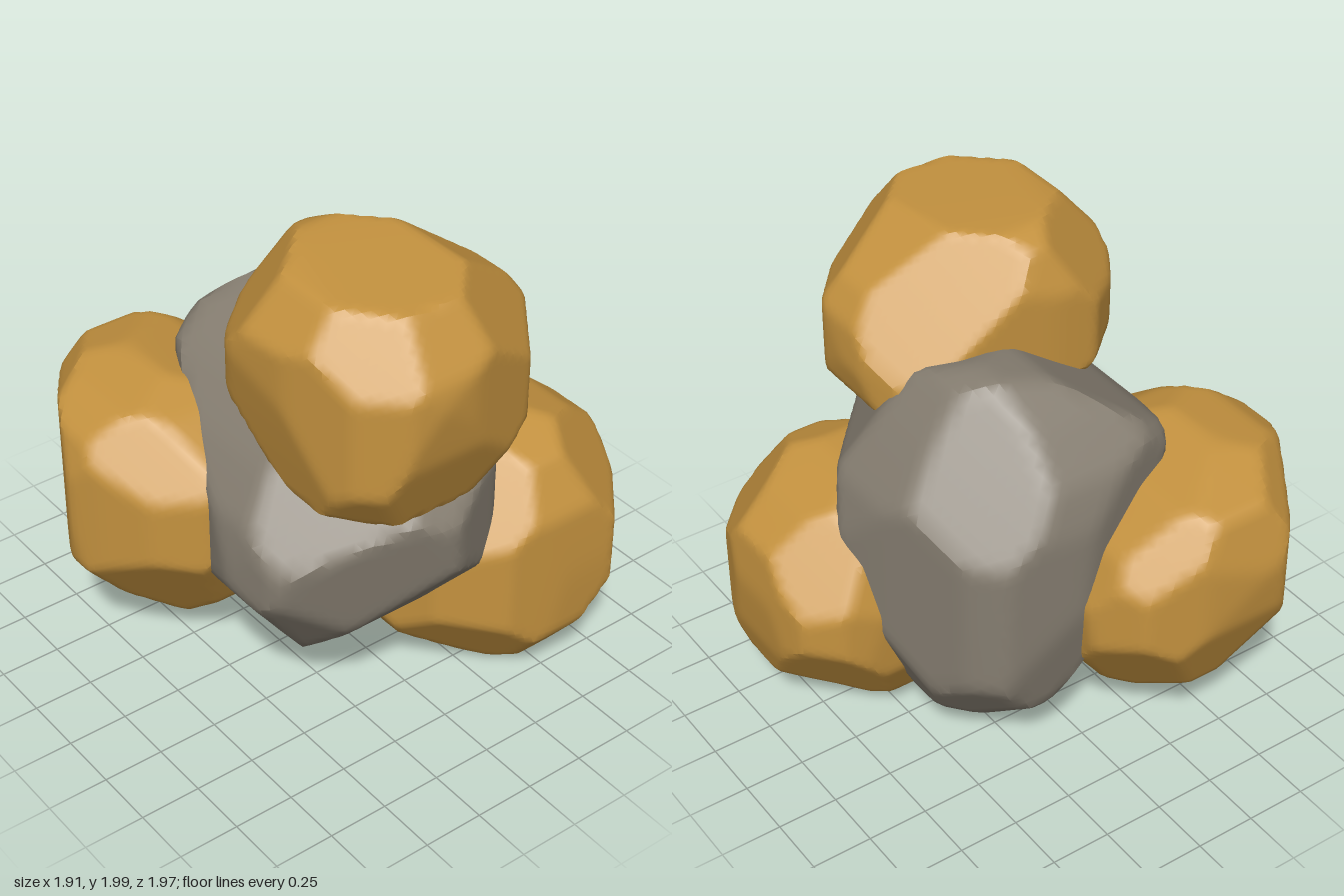
import * as THREE from 'three';
import { toCreasedNormals } from 'three/addons/utils/BufferGeometryUtils.js';

// Corner directions, in the order +++, ++-, +-+, +--, -++, -+-, --+, ---
const corners = [];
for (const x of [1, -1]) for (const y of [1, -1]) for (const z of [1, -1]) {
  corners.push(new THREE.Vector3(x, y, z).normalize());
}

// One cutting plane for each side of a convex outline drawn in the axes u, v
function outlinePlanes(points, u, v, center) {
  return points.map(([a, b], i) => {
    const [c, d] = points[(i + 1) % points.length];
    const n = new THREE.Vector3().setComponent(u, d - b).setComponent(v, a - c).normalize();
    const onEdge = new THREE.Vector3().copy(center).setComponent(u, a).setComponent(v, b);
    const h = n.dot(onEdge.sub(center));
    return h < 0 ? { n: n.negate(), h: -h } : { n, h };
  });
}

// A worn stone: cut by its front (x, y), side (z, y) and top (x, z) outlines,
// eight corner planes and any extra facets given as [nx, ny, nz, distance]
function stone(name, material, { at, front, side, top, corner, facets = [] }) {
  const center = new THREE.Vector3(...at);
  const planes = [
    ...outlinePlanes(front, 0, 1, center),
    ...outlinePlanes(side, 2, 1, center),
    ...outlinePlanes(top, 0, 2, center),
    ...corners.map((n, i) => ({ n, h: corner[i] })),
    ...facets.map(([x, y, z, h]) => ({ n: new THREE.Vector3(x, y, z).normalize(), h })),
  ];
  const geometry = new THREE.IcosahedronGeometry(1, 20);
  const pos = geometry.attributes.position;
  const d = new THREE.Vector3();
  for (let i = 0; i < pos.count; i++) {
    d.fromBufferAttribute(pos, i).normalize();
    // nearest plane along d, slightly rounded where planes meet
    let sum = 0;
    for (const { n, h } of planes) sum += Math.max(0, n.dot(d) / h) ** 150;
    d.multiplyScalar(sum ** (-1 / 150));
    pos.setXYZ(i, d.x, d.y, d.z);
  }
  const mesh = new THREE.Mesh(toCreasedNormals(geometry, 0.55), material);
  mesh.name = name;
  mesh.position.copy(center);
  return mesh;
}

const core = {
  at: [0.08, 0.86, 0],
  front: [[-0.22, 1.64], [-0.08, 1.64], [0.3, 1.5], [0.65, 1.22], [0.78, 1.09], [0.85, 1], [0.84, 0.8],
    [0.58, 0.48], [0.22, 0.16], [-0.08, 0.07], [-0.2, 0.08], [-0.55, 0.32], [-0.64, 0.8], [-0.62, 1.15],
    [-0.56, 1.32], [-0.4, 1.5]],
  side: [[-0.2, 1.64], [0, 1.6], [0.4, 1.33], [0.55, 1.18], [0.67, 1], [0.72, 0.75], [0.7, 0.7],
    [0.3, 0.15], [-0.2, 0.08], [-0.5, 0.2], [-0.7, 0.65], [-0.73, 0.95], [-0.66, 1.18], [-0.49, 1.42],
    [-0.33, 1.6]],
  top: [[0.1, -0.73], [0.2, -0.66], [0.38, -0.52], [0.7, -0.25], [0.85, 0.05], [0.82, 0.25], [0.72, 0.46],
    [0.54, 0.66], [0.3, 0.71], [0.15, 0.67], [-0.07, 0.58], [-0.35, 0.45], [-0.48, 0.38], [-0.64, -0.1],
    [-0.59, -0.42], [-0.48, -0.53], [-0.05, -0.69]],
  corner: [0.65, 0.64, 0.72, 0.6, 0.79, 0.75, 0.57, 0.84],
  facets: [[0.9, -0.18, 0.41, 0.7]],
};

const topStone = {
  at: [0.45, 1.54, 0.05],
  front: [[-0.06, 1.4], [0.1, 1.25], [0.35, 1.12], [0.55, 1.08], [0.78, 1.08], [0.92, 1.42], [0.96, 1.66],
    [0.94, 1.75], [0.78, 1.96], [0.13, 2], [0.02, 1.95], [-0.06, 1.76]],
  side: [[0.61, 1.67], [0.6, 1.78], [0.44, 1.97], [0.3, 2], [-0.1, 1.99], [-0.4, 1.78], [-0.48, 1.66],
    [-0.5, 1.5], [-0.47, 1.36], [-0.2, 1.13], [0, 1.08], [0.35, 1.09], [0.5, 1.13], [0.56, 1.4]],
  top: [[0.02, -0.3], [0.1, -0.43], [0.3, -0.51], [0.55, -0.48], [0.83, -0.27], [0.94, 0.07], [0.96, 0.23],
    [0.93, 0.35], [0.79, 0.5], [0.5, 0.59], [0.2, 0.61], [0.08, 0.53], [-0.06, 0.36], [-0.06, 0.2],
    [-0.02, -0.08]],
  corner: [0.55, 0.45, 0.59, 0.51, 0.56, 0.45, 0.54, 0.57],
};

const frontStone = {
  at: [-0.4, 0.72, 0.43],
  front: [[-0.96, 0.9], [-0.88, 1.17], [-0.6, 1.26], [-0.33, 1.28], [-0.1, 1.2], [0.14, 1.03], [0.15, 0.7],
    [-0.05, 0.3], [-0.22, 0.16], [-0.35, 0.14], [-0.55, 0.2], [-0.77, 0.31], [-0.93, 0.68]],
  side: [[1, 0.85], [0.97, 0.55], [0.78, 0.32], [0.55, 0.16], [0.35, 0.15], [0.1, 0.25], [-0.08, 0.5],
    [-0.11, 0.8], [0, 1.02], [0.22, 1.18], [0.54, 1.27], [0.8, 1.21], [0.93, 1.12], [0.99, 0.95]],
  top: [[-0.65, -0.11], [-0.85, 0.02], [-0.93, 0.25], [-0.96, 0.52], [-0.95, 0.6], [-0.88, 0.67],
    [-0.6, 0.85], [-0.33, 0.99], [-0.2, 0.94], [0, 0.83], [0.15, 0.65], [0.15, 0.3], [0, 0], [-0.25, -0.12]],
  corner: [0.59, 0.54, 0.49, 0.53, 0.6, 0.6, 0.47, 0.52],
};

const backStone = {
  at: [0.37, 0.55, -0.47],
  front: [[0.84, 0.8], [0.86, 0.5], [0.85, 0.25], [0.7, 0.06], [0.55, 0], [0.25, 0.01], [0.05, 0.1],
    [-0.09, 0.35], [-0.11, 0.65], [0, 0.95], [0.25, 1.1], [0.5, 1.1], [0.72, 1]],
  side: [[0, 0.85], [-0.25, 1.06], [-0.4, 1.11], [-0.55, 1.1], [-0.8, 1], [-0.96, 0.87], [-0.99, 0.65],
    [-0.97, 0.4], [-0.92, 0.22], [-0.45, 0], [-0.38, 0.01], [-0.22, 0.08], [0, 0.22], [0.06, 0.32],
    [0.06, 0.6]],
  top: [[-0.11, -0.65], [-0.08, -0.82], [0.02, -0.95], [0.2, -0.99], [0.45, -0.99], [0.65, -0.92],
    [0.86, -0.74], [0.86, -0.5], [0.82, -0.25], [0.65, -0.02], [0.4, 0.07], [0.1, 0], [-0.08, -0.3]],
  corner: [0.49, 0.52, 0.51, 0.53, 0.54, 0.55, 0.49, 0.49],
};

export function createModel() {
  const grey = new THREE.MeshStandardMaterial({ color: 0x857d70 });
  grey.name = 'greyStone';
  const ochre = new THREE.MeshStandardMaterial({ color: 0xc4923f });
  ochre.name = 'ochreNugget';

  const group = new THREE.Group();
  group.name = 'oreCluster';
  group.add(
    // grey rock in the middle, with three nuggets stuck to it
    stone('coreRock', grey, core),
    stone('topNugget', ochre, topStone),
    stone('frontNugget', ochre, frontStone),
    stone('backNugget', ochre, backStone),
  );
  return group;
}
